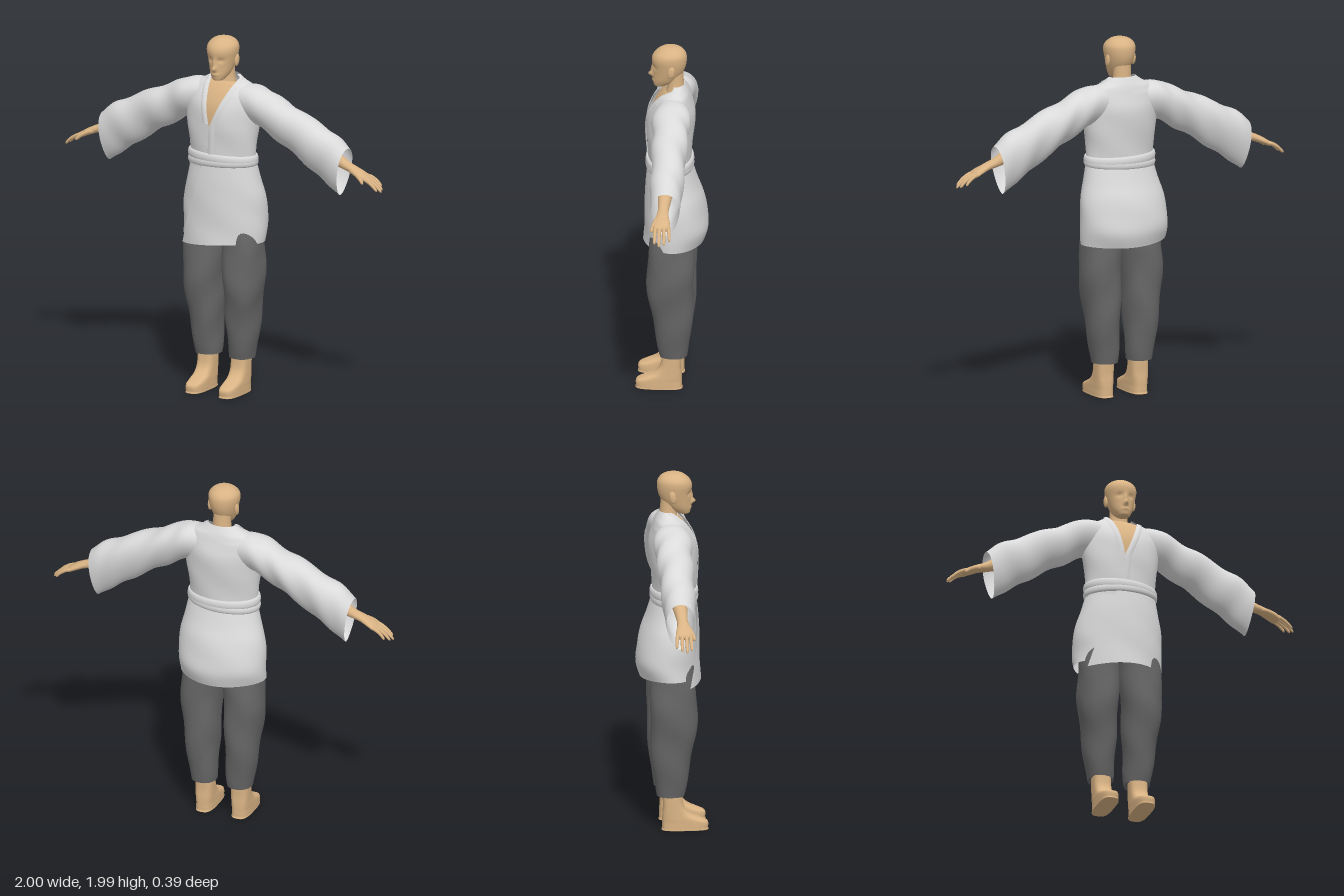
import * as THREE from 'three';
import { mergeVertices } from 'three/addons/utils/BufferGeometryUtils.js';

const mat = (name, color, side = THREE.FrontSide) => {
  const m = new THREE.MeshStandardMaterial({ color, side });
  m.name = name;
  return m;
};

// Smooth interpolation through rows of numbers, t in 0..1
function sample(rows, t) {
  const n = rows.length - 1, f = Math.min(t * n, n - 1e-6), i = Math.floor(f), k = f - i;
  const at = j => rows[Math.max(0, Math.min(n, j))];
  return rows[i].map((b, c) => {
    const a = at(i - 1)[c], d = at(i + 1)[c], e = at(i + 2)[c];
    return b + 0.5 * k * (d - a + k * (2 * a - 5 * b + 4 * d - e + k * (3 * (b - d) + e - a)));
  });
}

// Surface from fn(u, v) -> [x, y, z]; welded so closed seams stay smooth
function grid(nu, nv, fn) {
  const pos = [], index = [];
  for (let j = 0; j <= nv; j++) for (let i = 0; i <= nu; i++) pos.push(...fn(i / nu, j / nv));
  for (let j = 0; j < nv; j++) for (let i = 0; i < nu; i++) {
    const a = j * (nu + 1) + i, b = a + 1, c = a + nu + 1, d = c + 1;
    index.push(a, b, d, a, d, c);
  }
  let g = new THREE.BufferGeometry();
  g.setAttribute('position', new THREE.Float32BufferAttribute(pos, 3));
  g.setIndex(index);
  g = mergeVertices(g, 1e-5);
  g.computeVertexNormals();
  return g;
}

function mirrored(geo) {
  const g = geo.clone().scale(-1, 1, 1), ix = g.index.array;
  for (let i = 0; i < ix.length; i += 3) [ix[i], ix[i + 1]] = [ix[i + 1], ix[i]];
  return g;
}

// Point on an oval section [y, centreX, halfWidth, zFront, zBack]; angle 0 faces front
function oval([y, cx, rx, zf, zb], a, grow = 0, p = 1) {
  const s = Math.sin(a), c = Math.cos(a), pw = v => Math.sign(v) * Math.abs(v) ** p;
  return [cx + (Math.max(rx, 0) + grow) * pw(s), Math.max(y, 0), (zf + zb) / 2 + ((zf - zb) / 2 + grow) * pw(c)];
}
const body = (rows, nu, nv, grow = 0, p = 1, shape = q => q) =>
  grid(nu, nv, (u, v) => shape(oval(sample(rows, v), u * Math.PI * 2, grow, p)));
const angleAt = (x, s) => Math.asin(Math.max(-0.97, Math.min(0.97, (x - s[1]) / s[2])));
const fold = (a, y) => 0.0035 * Math.sin(3 * a + 9 * y) * Math.sin(17 * y + a);

// Limb along the drooping arm direction, rows [x, y, z, halfThickness, halfWidth]
const limb = (rows, nu, nv) => grid(nu, nv, (u, v) => {
  const [x, y, z, h, w] = sample(rows, v), a = u * Math.PI * 2;
  return [x + 0.39 * h * Math.cos(a), y + 0.92 * h * Math.cos(a), z + w * Math.sin(a)];
});

export function createModel() {
  const root = new THREE.Group();
  root.name = 'robedFigure';
  const skin = mat('skin', 0xd9b384);
  const cloth = mat('jacketCloth', 0xdadada, THREE.DoubleSide);
  const dark = mat('trouserCloth', 0x666666);
  const add = (name, geo, m) => {
    const mesh = new THREE.Mesh(geo, m);
    mesh.name = name;
    root.add(mesh);
  };
  const pair = (name, geo, m) => {
    add('left' + name, geo, m);
    add('right' + name, mirrored(geo), m);
  };

  // Head with brow, nose, mouth and chin shaped by soft bumps
  const bump = (x, y, px, py, sx, sy) => Math.exp(-(((x - px) / sx) ** 2) - ((y - py) / sy) ** 2);
  add('head', body([
    [1.757, 0, 0, 0.08, 0.08], [1.758, 0, 0.026, 0.104, 0.05], [1.775, 0, 0.042, 0.112, 0.01],
    [1.80, 0, 0.056, 0.113, -0.02], [1.84, 0, 0.069, 0.113, -0.05], [1.88, 0, 0.079, 0.116, -0.066],
    [1.92, 0, 0.086, 0.12, -0.071], [1.95, 0, 0.082, 0.108, -0.066], [1.975, 0, 0.06, 0.08, -0.045],
    [1.987, 0, 0.032, 0.052, -0.015], [1.99, 0, 0, 0.02, 0.02],
  ], 56, 60, 0, 1, ([x, y, z]) => {
    if (z > 0.04) {
      z += 0.026 * bump(x, y, 0, 1.825, 0.011, 0.014) + 0.012 * bump(x, y, 0, 1.855, 0.009, 0.025)
        + 0.006 * bump(x, y, 0, 1.792, 0.02, 0.008) - 0.009 * bump(Math.abs(x), y, 0.032, 1.873, 0.018, 0.013);
    }
    return [x, y, z];
  }), skin);
  add('neck', body([[1.64, 0, 0.08, 0.08, -0.06], [1.72, 0, 0.06, 0.045, -0.06],
    [1.78, 0, 0.05, 0.037, -0.055], [1.86, 0, 0.05, 0.04, -0.05]], 32, 10), skin);
  const ear = new THREE.SphereGeometry(1, 16, 12).scale(0.011, 0.036, 0.02).rotateX(-0.15).translate(0.079, 1.865, 0.01);
  pair('Ear', ear, skin);

  // Jacket top: wraps from one neckline edge round the back to the other
  const torso = [
    [1.26, 0, 0.198, 0.138, -0.098], [1.32, 0, 0.193, 0.138, -0.095], [1.40, 0, 0.2, 0.143, -0.1],
    [1.50, 0, 0.215, 0.148, -0.11], [1.60, 0, 0.225, 0.14, -0.115], [1.67, 0, 0.215, 0.112, -0.102],
    [1.72, 0, 0.18, 0.078, -0.088], [1.745, 0, 0.125, 0.055, -0.078], [1.778, 0, 0.075, 0.03, -0.06],
  ];
  const edgeX = (y, slope) => -0.015 + (y < 1.5 ? (y - 1.5) * 0.08 : (y - 1.5) * slope);
  add('jacketTop', grid(64, 40, (u, v) => {
    const s = sample(torso, v);
    const a0 = angleAt(edgeX(s[0], 0.42), s), a1 = angleAt(edgeX(s[0], -0.2), s) + Math.PI * 2;
    const a = a0 + (a1 - a0) * u;
    return oval(s, a, fold(a, s[0]) * (s[0] < 1.7 ? 1 : 0));
  }), cloth);
  add('chest', body(torso.slice(2, 8), 40, 24, -0.012), skin);

  // Lapel bands beside the neckline
  const lapel = (slope, dir, from) => grid(4, 36, (u, v) => {
    const s = sample(torso, from + (1 - from) * v), x = edgeX(s[0], slope);
    const w = (dir > 0 ? u : u - 1) * 0.036;
    const a = angleAt(x, s) + w / s[2];
    return oval(s, a, 0.004 + 0.005 * Math.sin(u * Math.PI));
  });
  add('leftLapel', lapel(0.42, 1, 0.1), cloth);
  add('rightLapel', lapel(-0.2, -1, 0.4), cloth);

  // Jacket skirt: front flap overlaps the far end of the wrap
  const skirt = [
    [0.85, -0.012, 0.247, 0.158, -0.165], [0.93, -0.01, 0.252, 0.155, -0.19], [1.02, -0.01, 0.25, 0.154, -0.182],
    [1.11, -0.006, 0.24, 0.152, -0.163], [1.2, -0.003, 0.218, 0.147, -0.13], [1.31, 0, 0.193, 0.134, -0.095],
  ];
  const hem = [[0.82], [0.85], [0.855], [0.85], [0.865], [0.862]];
  add('jacketSkirt', grid(80, 30, (u, v) => {
    const s = sample(skirt, v);
    const a = angleAt(-0.06 - (1.28 - s[0]) * 0.35, s) + u * (Math.PI * 2 + 0.3);
    const p = oval(s, a, 0.008 - 0.016 * u + 1.3 * fold(a, s[0]) * (1 - v));
    p[1] += (sample(hem, u)[0] - 0.85) * (1 - v) ** 2;
    return p;
  }), cloth);

  // Belt: two stacked rounded wraps, slightly tilted
  const wrap = (y0, r, tilt) => grid(64, 12, (u, v) => {
    const a = u * Math.PI * 2, b = v * Math.PI * 2;
    const p = oval([y0, 0, 0.193, 0.138, -0.095], a, 0.005 - 0.011 * Math.cos(b));
    p[1] += -r * Math.sin(b) + tilt * p[0] + 0.03 * p[2];
    return p;
  });
  const belt = wrap(1.322, 0.026, -0.02), belt2 = wrap(1.297, 0.022, 0.04);
  for (const [name, g] of [['beltUpperWrap', belt], ['beltLowerWrap', belt2]]) {
    // section runs bottom-up on the outside
    const ix = g.index.array, n = g.attributes.normal;
    if (n.getZ(0) > 0 === g.attributes.position.getZ(0) < 0.138) {
      for (let i = 0; i < ix.length; i += 3) [ix[i], ix[i + 1]] = [ix[i + 1], ix[i]];
      g.computeVertexNormals();
    }
    add(name, g, cloth);
  }

  // Wide sleeves, rows [topX, topY, bottomX, bottomY, halfDepth]
  const sleeve = [
    [0.08, 1.725, 0.1, 1.53, 0.08], [0.2, 1.735, 0.21, 1.515, 0.1], [0.3, 1.695, 0.32, 1.455, 0.095],
    [0.42, 1.645, 0.44, 1.385, 0.092], [0.58, 1.572, 0.56, 1.305, 0.089], [0.7, 1.515, 0.655, 1.24, 0.085],
    [0.772, 1.455, 0.728, 1.19, 0.075],
  ];
  pair('Sleeve', grid(40, 40, (u, v) => {
    const [tx, ty, bx, by, hz] = sample(sleeve, v), a = u * Math.PI * 2, c = Math.cos(a);
    const k = (1 + c) / 2, w = 0.006 * Math.sin(v * 24 + 2 * a) * Math.sin(v * Math.PI);
    return [bx + (tx - bx) * k, by + (ty - by) * k + w * c, (hz + w) * Math.sin(a) * (1 + 0.22 * c)];
  }), cloth);

  // Forearm with palm, fingers and thumb
  pair('Forearm', limb([
    [0.58, 1.43, 0, 0.045, 0.045], [0.7, 1.395, 0.005, 0.036, 0.037], [0.77, 1.365, 0.008, 0.026, 0.03],
    [0.82, 1.348, 0.01, 0.021, 0.034], [0.87, 1.325, 0.01, 0.018, 0.044], [0.905, 1.306, 0.01, 0.012, 0.043],
    [0.912, 1.302, 0.01, 0, 0],
  ], 24, 30), skin);
  const finger = (x0, y0, z0, x1, y1, z1, r) => limb([0, 0.3, 0.65, 0.9, 0.97, 1].map((t, i) => [
    x0 + (x1 - x0) * t, y0 + (y1 - y0) * t + 0.012 * Math.sin(t * Math.PI), z0 + (z1 - z0) * t,
    ...Array(2).fill(r * [1, 1, 0.9, 0.75, 0.5, 0][i]),
  ]), 10, 12);
  [[-0.026, -0.036, 0.968], [-0.002, -0.008, 0.99], [0.022, 0.019, 1], [0.044, 0.044, 0.985]].forEach(([z0, z1, tip], i) =>
    pair('Finger' + (i + 1), finger(0.885, 1.317, z0, tip, 1.245 + (1 - tip) * 0.6, z1, 0.0105), skin));
  pair('Thumb', finger(0.81, 1.345, 0.03, 0.91, 1.29, 0.066, 0.013), skin);

  // Loose trouser legs, closed at the cuff
  pair('TrouserLeg', body([
    [0.225, 0.107, 0, -0.005, -0.005], [0.2, 0.107, 0.062, 0.062, -0.07], [0.205, 0.107, 0.07, 0.072, -0.082],
    [0.32, 0.112, 0.082, 0.092, -0.1], [0.45, 0.117, 0.092, 0.115, -0.112], [0.6, 0.124, 0.104, 0.139, -0.118],
    [0.72, 0.125, 0.111, 0.138, -0.118], [0.86, 0.118, 0.11, 0.128, -0.115], [1.0, 0.11, 0.1, 0.115, -0.11],
  ], 40, 48, 0, 0.9, ([x, y, z]) => [x + 0.003 * Math.sin(y * 22 + z * 20), y, z + 0.003 * Math.sin(y * 18 + x * 25)]), dark);

  // Bare feet and ankles
  pair('Foot', body([
    [0, 0.105, 0, 0.08, 0.06], [0, 0.105, 0.047, 0.193, -0.046], [0.012, 0.105, 0.051, 0.199, -0.05],
    [0.045, 0.105, 0.051, 0.198, -0.05], [0.065, 0.105, 0.051, 0.16, -0.05], [0.09, 0.105, 0.05, 0.105, -0.049],
    [0.13, 0.105, 0.05, 0.07, -0.046], [0.19, 0.105, 0.05, 0.058, -0.047], [0.26, 0.105, 0.048, 0.055, -0.045],
  ], 40, 40, 0, 0.65), skin);

  return root;
}
